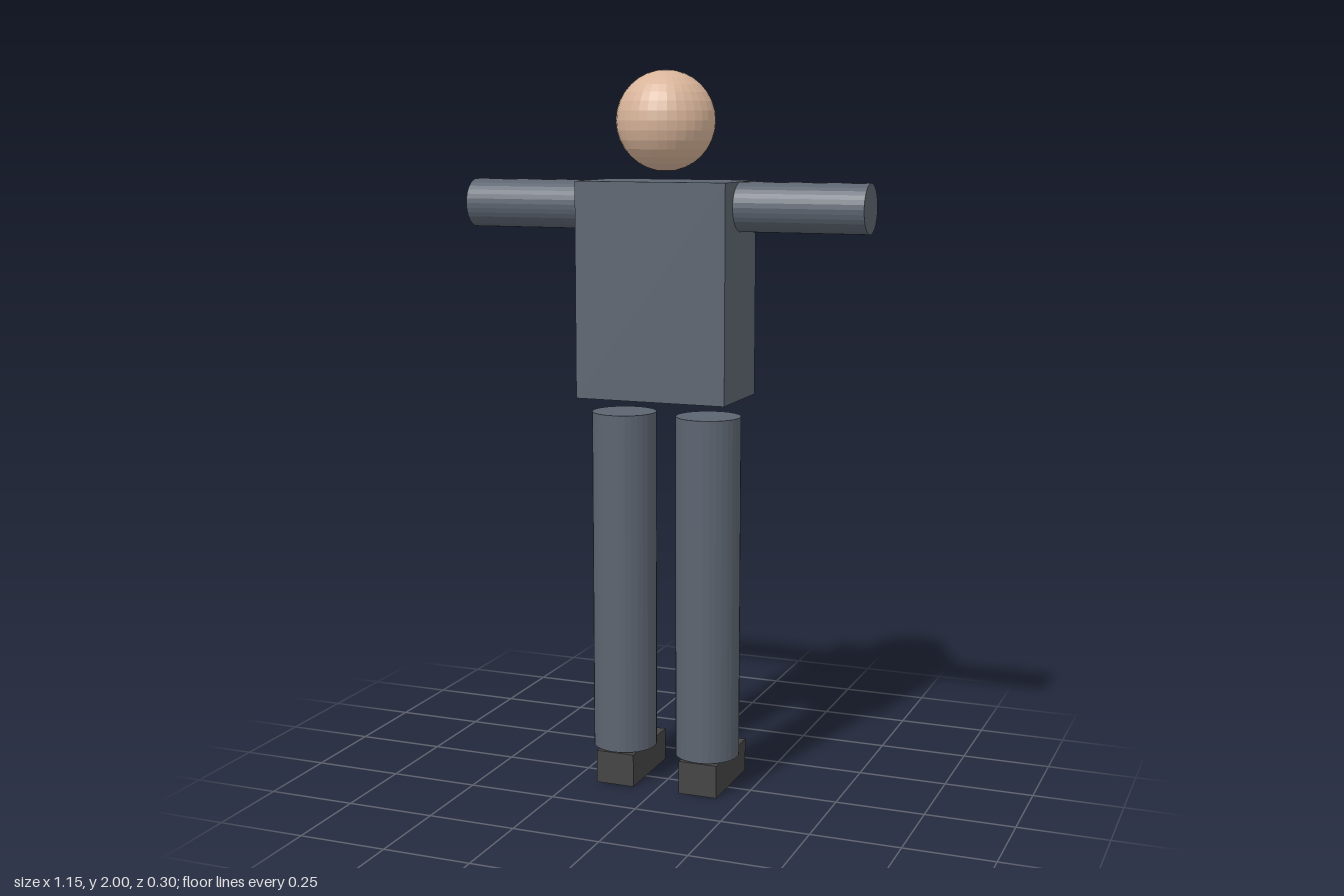
import * as THREE from 'three';

export function createModel() {
  const model = new THREE.Group();
  model.name = 'figure';

  const material = (name, color) => {
    const m = new THREE.MeshStandardMaterial({ color, flatShading: true });
    m.name = name;
    return m;
  };
  const skin = material('skin', 0xd8b49a);
  const cloth = material('slate cloth', 0x5c6470);
  const leather = material('dark leather', 0x444446);

  const add = (name, geometry, mat, x, y, z) => {
    const mesh = new THREE.Mesh(geometry, mat);
    mesh.name = name;
    mesh.position.set(x, y, z);
    model.add(mesh);
    return mesh;
  };

  const midZ = 0.017; // shared depth of head, torso and limbs

  // Floating head above a plain box torso
  add('head', new THREE.SphereGeometry(0.135, 32, 16), skin, 0, 1.865, midZ);
  add('torso', new THREE.BoxGeometry(0.43, 0.59, 0.25), cloth, 0, 1.41, midZ);

  // Mirrored limbs
  for (const [side, s] of [['left', 1], ['right', -1]]) {
    // Outstretched arm, starting at the torso's side
    const arm = add(side + 'Arm', new THREE.CylinderGeometry(0.067, 0.067, 0.358, 32), cloth, s * 0.394, 1.638, midZ);
    arm.rotation.z = -s * Math.PI / 2;

    // Straight leg with a gap below the torso
    add(side + 'Leg', new THREE.CylinderGeometry(0.09, 0.09, 0.966, 32), cloth, s * 0.125, 0.583, midZ);

    // Block shoe, longer toward the back
    add(side + 'Shoe', new THREE.BoxGeometry(0.112, 0.094, 0.248), leather, s * 0.125, 0.047, -0.028);
  }

  return model;
}
